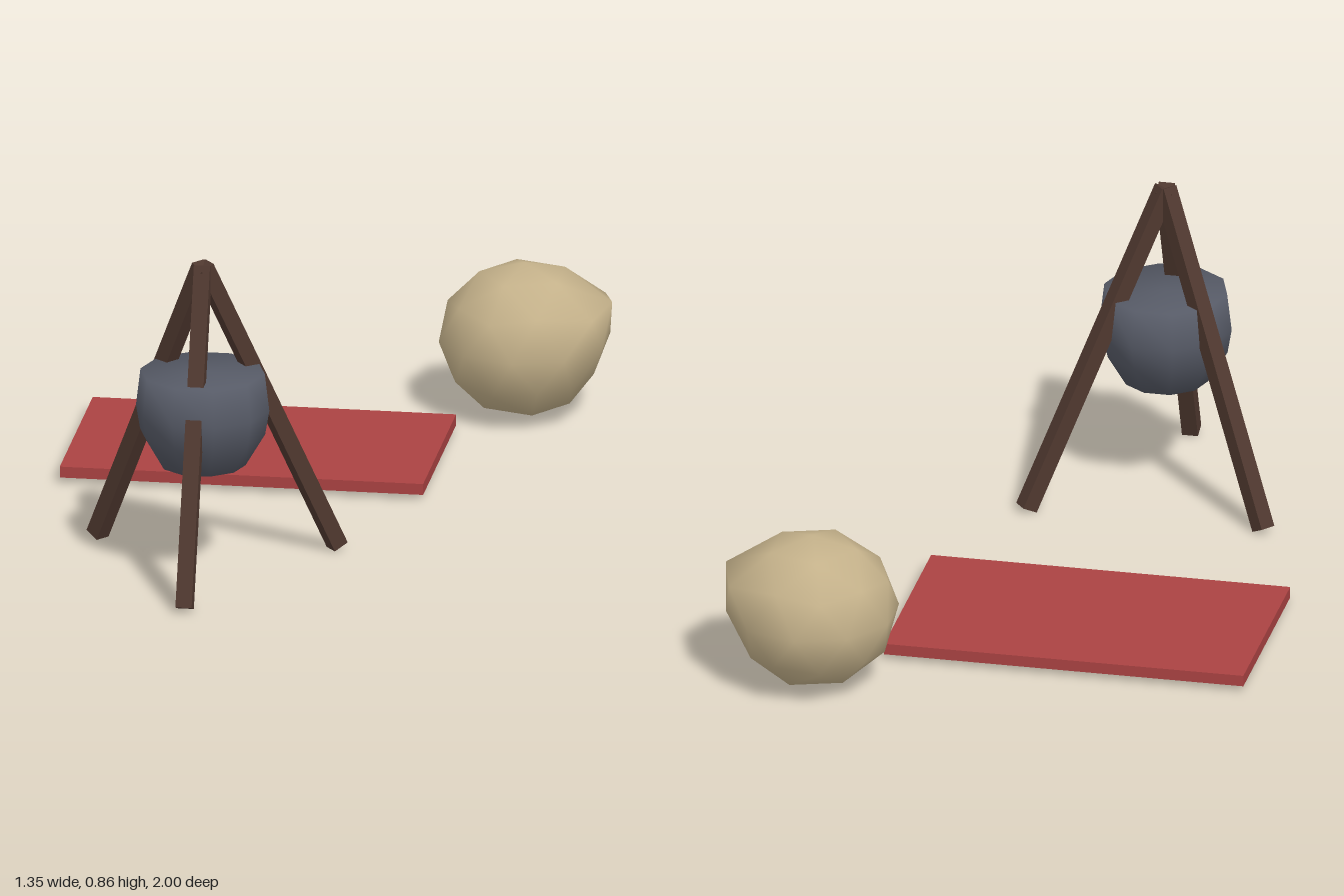
import * as THREE from 'three';
import { mergeVertices } from 'three/addons/utils/BufferGeometryUtils.js';

const material = (name, color) => {
  const m = new THREE.MeshStandardMaterial({ color });
  m.name = name;
  return m;
};

export function createModel() {
  const wood = material('dark wood', 0x4f382f);
  const iron = material('pot iron', 0x565a66);
  const cloth = material('red cloth', 0xaa4242);
  const canvas = material('tan canvas', 0xc4b18a);

  const model = new THREE.Group();
  model.name = 'campsite';
  const add = (name, geometry, mat, parent = model) => {
    const mesh = new THREE.Mesh(geometry, mat);
    mesh.name = name;
    parent.add(mesh);
    return mesh;
  };

  // Tripod: square poles leaning in from each foot to a shared top
  const tripod = new THREE.Group();
  tripod.name = 'tripod';
  model.add(tripod);
  const top = new THREE.Vector3(-0.195, 0.847, 0.655);
  const feet = {
    frontLeg: [-0.195, 0.98],
    leftBackLeg: [0.123, 0.403],
    rightBackLeg: [-0.513, 0.403],
  };
  for (const [name, [x, z]] of Object.entries(feet)) {
    const foot = new THREE.Vector3(x, 0.008, z);
    const spread = Math.hypot(x - top.x, z - top.z);
    const leg = add(name, new THREE.BoxGeometry(0.043, foot.distanceTo(top), 0.043), wood, tripod);
    leg.position.copy(foot).lerp(top, 0.5);
    leg.rotation.order = 'YXZ';
    leg.rotation.y = Math.atan2(x - top.x, z - top.z);
    leg.rotation.x = -Math.atan2(spread, top.y - foot.y);
  }

  // Ten-sided closed pot hanging between the poles
  const profile = [
    [0, 0.302], [0.114, 0.302], [0.166, 0.39], [0.177, 0.455], [0.165, 0.556], [0, 0.556],
  ].map(([r, y]) => new THREE.Vector2(r, y));
  const pot = add('pot', new THREE.LatheGeometry(profile, 10, Math.PI / 2), iron);
  pot.position.set(-0.196, 0, 0.656);

  // Flat mat
  const mat = add('mat', new THREE.BoxGeometry(0.964, 0.03, 0.58), cloth);
  mat.position.set(-0.195, 0.028, -0.31);

  // Lumpy sack: a coarse ball standing on a corner, bulging on its upper left
  let ball = new THREE.IcosahedronGeometry(1, 1);
  ball.rotateZ(Math.atan2(1, (1 + Math.sqrt(5)) / 2));
  ball.deleteAttribute('uv');
  ball.deleteAttribute('normal');
  ball = mergeVertices(ball, 1e-3);
  const p = ball.attributes.position;
  for (let i = 0; i < p.count; i++) {
    const x = p.getX(i);
    const y = p.getY(i);
    if (x > 0.6 && y > 0.3) p.setX(i, x * 1.2);
    if (x > 0.6 && y < -0.3) p.setX(i, x * 0.9);
  }
  ball.scale(0.228, 0.208, 0.228);
  ball.computeVertexNormals();
  const sack = add('sack', ball, canvas);
  sack.position.set(0.443, 0.208, -0.769);

  return model;
}
